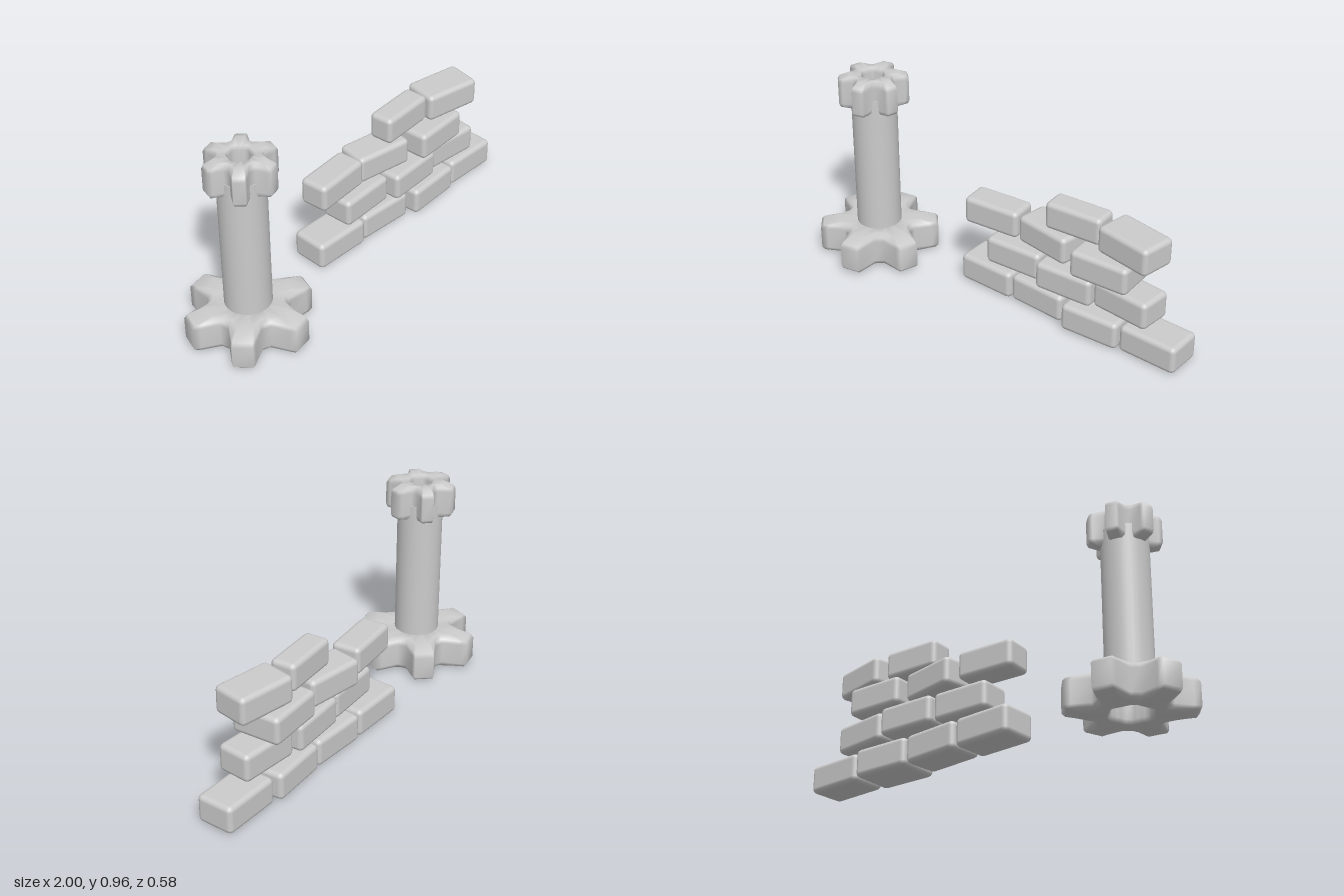
import * as THREE from 'three';
import { RoundedBoxGeometry } from 'three/addons/geometries/RoundedBoxGeometry.js';

const material = new THREE.MeshStandardMaterial({ color: 0xcccccc });

function add(group, name, geometry, x, y, z, turn = 0) {
  const mesh = new THREE.Mesh(geometry, material);
  mesh.name = name;
  mesh.position.set(x, y, z);
  mesh.rotation.y = turn;
  group.add(mesh);
  return mesh;
}

// Six-toothed ring with softened edges and a hexagonal hole, lofted from closed rings.
function gearGeometry(scale, height, turn) {
  // One tooth outline: [angle from tooth centre in degrees, radius]
  const tooth = [[-23, 0.185], [-12, 0.262], [-9, 0.292], [9, 0.292], [12, 0.262], [23, 0.185]];
  const hex = (r) => (a) => r * Math.cos(Math.PI / 6) / Math.cos(a);
  const star = (k, root) => (a, r) => root + (r - 0.185) * k;
  const rings = [
    [hex(0.1), 0.025], [hex(0.115), 0.005], [star(0.4, 0.16), 0],
    [star(0.93, 0.178), 0.014], [star(1, 0.185), 0.03],
    [star(1, 0.185), height - 0.034], [star(0.93, 0.178), height - 0.016],
    [star(0.4, 0.16), height], [hex(0.115), height - 0.005], [hex(0.1), height - 0.025],
  ];
  const positions = [], index = [], n = tooth.length * 6;
  for (const [radius, y] of rings) {
    for (let t = 0; t < 6; t++) {
      for (const [deg, r] of tooth) {
        const off = THREE.MathUtils.degToRad(deg);
        const a = turn + t * Math.PI / 3 + off;
        const d = radius(off, r) * scale;
        positions.push(d * Math.cos(a), y, -d * Math.sin(a));
      }
    }
  }
  for (let j = 0; j < rings.length; j++) {
    const k = (j + 1) % rings.length;
    for (let i = 0; i < n; i++) {
      const m = (i + 1) % n;
      index.push(j * n + i, j * n + m, k * n + m, j * n + i, k * n + m, k * n + i);
    }
  }
  const geometry = new THREE.BufferGeometry();
  geometry.setAttribute('position', new THREE.Float32BufferAttribute(positions, 3));
  geometry.setIndex(index);
  geometry.computeVertexNormals();
  return geometry;
}

function buildColumn() {
  const column = new THREE.Group();
  column.name = 'column';
  column.position.x = -0.71;
  const deg = THREE.MathUtils.degToRad;
  add(column, 'columnBase', gearGeometry(1, 0.172, deg(42)), 0, 0, 0);
  add(column, 'columnShaft', new THREE.CylinderGeometry(0.108, 0.108, 0.76, 32), 0, 0.48, 0);
  add(column, 'columnCapital', gearGeometry(0.57, 0.172, deg(46)), 0, 0.788, 0);
  return column;
}

function buildWall() {
  const wall = new THREE.Group();
  wall.name = 'brickWall';
  // Each brick: [centre x, centre y, centre z, length, depth, turn in degrees]
  const bricks = [
    [-0.067, 0.069, -0.132, 0.295, 0.185, 0],
    [0.235, 0.069, -0.135, 0.295, 0.18, -2],
    [0.545, 0.069, -0.125, 0.295, 0.22, 4],
    [0.853, 0.069, -0.132, 0.295, 0.185, 0],
    [0.092, 0.238, -0.115, 0.295, 0.16, 4],
    [0.398, 0.238, -0.12, 0.295, 0.22, 4],
    [0.702, 0.238, -0.125, 0.295, 0.17, -4],
    [-0.055, 0.395, -0.125, 0.29, 0.145, 6],
    [0.252, 0.383, -0.145, 0.295, 0.165, -8],
    [0.585, 0.378, -0.132, 0.295, 0.24, 4],
    [0.402, 0.532, -0.133, 0.29, 0.125, 5],
    [0.708, 0.522, -0.128, 0.29, 0.18, -9],
  ];
  for (const [x, y, z, length, depth, turn] of bricks) {
    const brick = new RoundedBoxGeometry(length, 0.136, depth, 2, 0.024);
    add(wall, 'brick', brick, x, y, z, THREE.MathUtils.degToRad(turn));
  }
  return wall;
}

export function createModel() {
  const model = new THREE.Group();
  model.name = 'ruins';
  model.add(buildColumn(), buildWall());
  return model;
}
